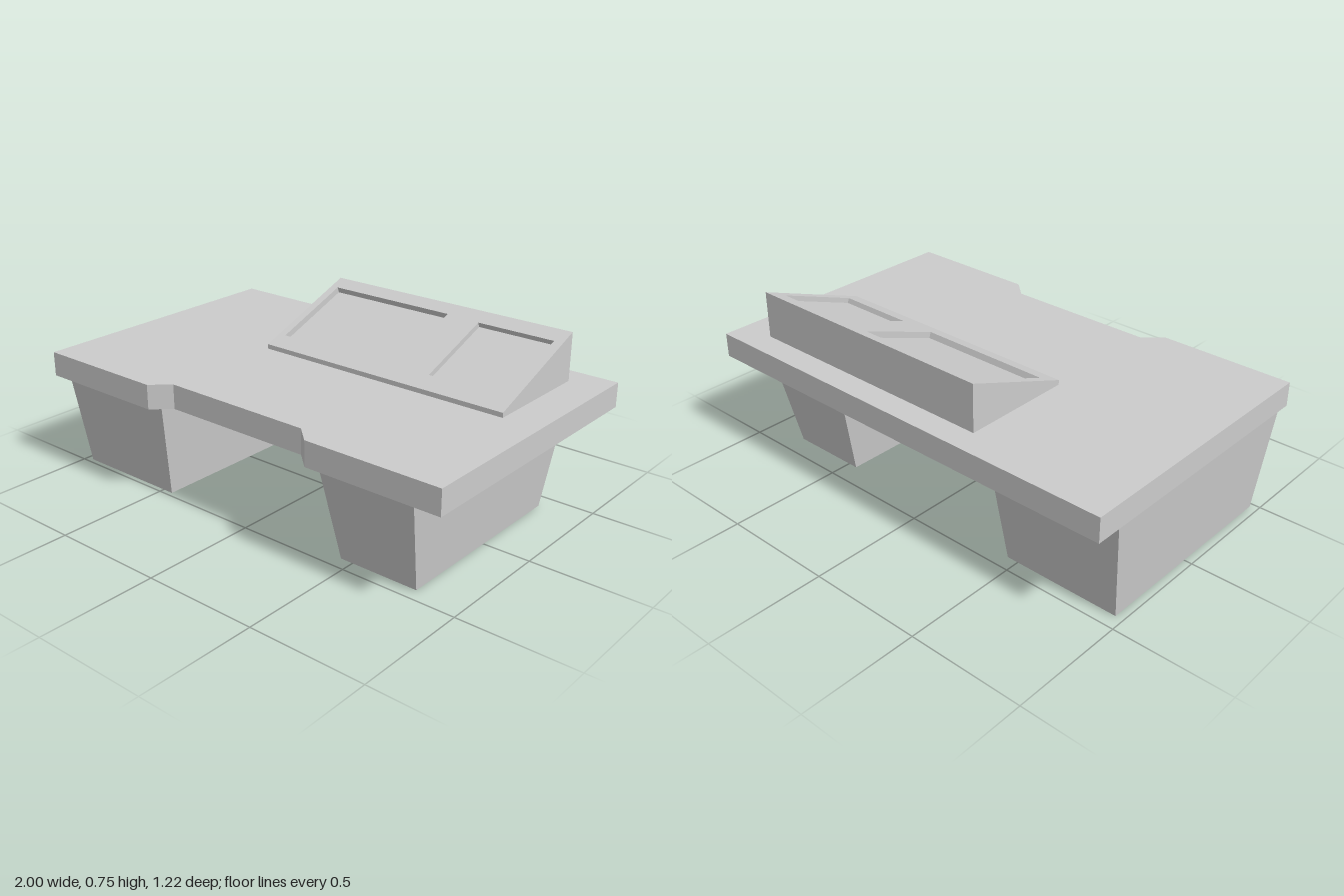
import * as THREE from 'three';

const GREY = new THREE.MeshStandardMaterial({ color: 0xcccccc, flatShading: true });
const BASE = 0.435, TOP = 0.54; // underside and top of the desk slab

function add(group, name, geometry) {
  const mesh = new THREE.Mesh(geometry, GREY);
  mesh.name = name;
  group.add(mesh);
  return mesh;
}

// Plan outline given as [x, z] pairs, turned into shape coordinates
const plan = (points) => points.map(([x, z]) => new THREE.Vector2(x, -z));
const rect = ([x0, x1, z0, z1]) => plan([[x0, z1], [x1, z1], [x1, z0], [x0, z0]]);

// Upright prism over a plan outline
function prism(shape, height) {
  return new THREE.ExtrudeGeometry(shape, { depth: height, bevelEnabled: false }).rotateX(-Math.PI / 2);
}

// Box whose top and bottom are different rectangles [x0, x1, z0, z1]
function taperedBox(bottom, top, y0, y1) {
  const geometry = new THREE.BoxGeometry(1, 1, 1);
  const p = geometry.attributes.position;
  for (let i = 0; i < p.count; i++) {
    const up = p.getY(i) > 0;
    const r = up ? top : bottom;
    p.setXYZ(i, p.getX(i) < 0 ? r[0] : r[1], up ? y1 : y0, p.getZ(i) < 0 ? r[2] : r[3]);
  }
  geometry.computeVertexNormals();
  return geometry;
}

// Sloped console: a wedge with recessed panels cut square to its slope
function buildConsole() {
  const group = new THREE.Group();
  group.name = 'console';
  const outer = [-0.335, 0.84, -0.5, -0.01];
  const recesses = [
    { name: 'largeScreen', area: [-0.3, 0.295, -0.436, -0.084], depth: 0.026 },
    { name: 'smallScreen', area: [0.45, 0.8, -0.429, -0.089], depth: 0.022 },
  ];
  const slope = (0.745 - 0.56) / (outer[3] - outer[2]);
  const heightAt = (z) => 0.56 + (outer[3] - z) * slope;
  const angle = Math.atan(slope);
  const sink = (z, d) => [heightAt(z) - Math.cos(angle) * d, z - Math.sin(angle) * d];

  const shape = new THREE.Shape(rect(outer));
  recesses.forEach((r) => shape.holes.push(new THREE.Path(rect(r.area).reverse())));
  const body = prism(shape, 1);
  const p = body.attributes.position;
  for (let i = 0; i < p.count; i++) {
    const x = p.getX(i), z = p.getZ(i);
    const recess = recesses.find(({ area: a }) =>
      x > a[0] - 0.001 && x < a[1] + 0.001 && z > a[2] - 0.001 && z < a[3] + 0.001);
    if (p.getY(i) > 0.5) {
      p.setY(i, heightAt(z)); // sloped top
    } else if (recess) {
      const [y, sunkZ] = sink(z, recess.depth); // foot of the recess walls
      p.setXYZ(i, x, y, sunkZ);
    } else {
      p.setY(i, TOP); // foot of the outer walls
    }
  }
  body.computeVertexNormals();
  add(group, 'consoleBody', body);

  // Recess floors
  for (const { name, area: [x0, x1, z0, z1], depth } of recesses) {
    const floor = add(group, name, new THREE.PlaneGeometry(x1 - x0, (z1 - z0) / Math.cos(angle)));
    const [y, z] = sink((z0 + z1) / 2, depth);
    floor.position.set((x0 + x1) / 2, y, z);
    floor.rotation.x = angle - Math.PI / 2;
  }
  return group;
}

export function createModel() {
  const model = new THREE.Group();
  model.name = 'desk';

  // Slab with a shallow notch for the seat
  const outline = plan([
    [-1, 0.61], [-0.412, 0.61], [-0.335, 0.54], [0.335, 0.54],
    [0.412, 0.61], [1, 0.61], [1, -0.61], [-1, -0.61],
  ]);
  add(model, 'deskTop', prism(new THREE.Shape(outline), TOP - BASE)).position.y = BASE;

  // Tapered pedestals, the right one wider
  add(model, 'rightPedestal',
    taperedBox([-0.965, -0.45, -0.437, 0.478], [-1, -0.415, -0.5, 0.54], 0, BASE));
  add(model, 'leftPedestal',
    taperedBox([0.45, 0.8, -0.408, 0.448], [0.41, 0.84, -0.5, 0.54], 0.005, BASE));

  model.add(buildConsole());
  return model;
}
